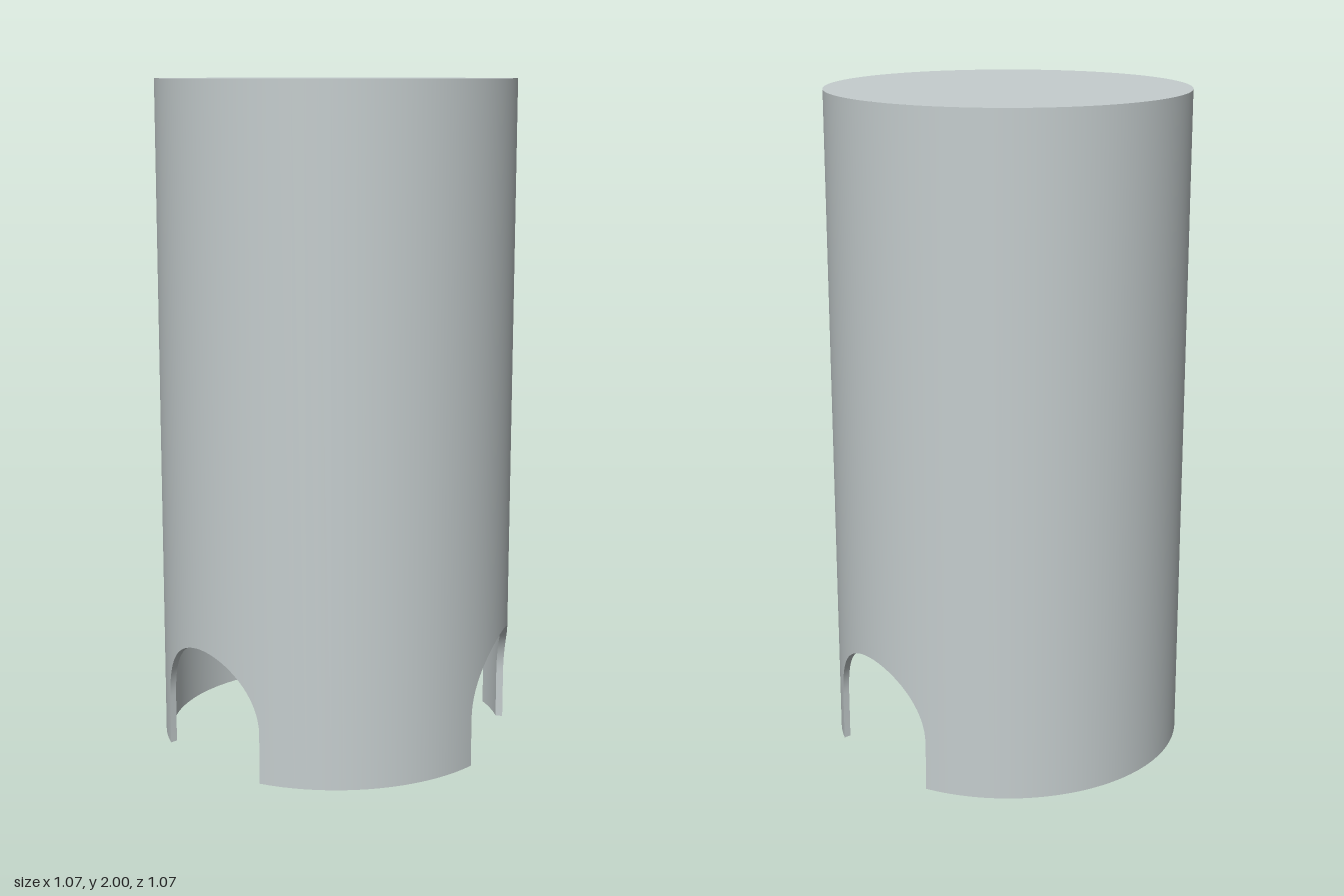
import * as THREE from 'three';
import { toCreasedNormals } from 'three/addons/utils/BufferGeometryUtils.js';

const R = 0.533, WALL = 0.02, RI = R - WALL, H = 2;
const ARCH_R = 0.2125, SPRING = 0.148; // arch radius and height of its straight jambs
const RAD = Math.PI / 180;
const ARCHES = [-16, 47.5, 167.5].map((d) => d * RAD); // measured from +x towards +z

// Columns around the wall: outer angle, inner angle and height of the lower edge
function wallColumns() {
  const cols = [];
  const half = Math.asin(ARCH_R / R), halfIn = Math.asin(ARCH_R / RI);
  ARCHES.forEach((c, k) => {
    cols.push({ o: c - half, i: c - halfIn, h: 0 });
    for (let n = 0; n <= 32; n++) {
      const phi = (n / 32) * Math.PI, s = -ARCH_R * Math.cos(phi);
      cols.push({ o: c + Math.asin(s / R), i: c + Math.asin(s / RI), h: SPRING + ARCH_R * Math.sin(phi) });
    }
    // Plain wall up to the next arch
    const next = k < ARCHES.length - 1 ? ARCHES[k + 1] : ARCHES[0] + 2 * Math.PI;
    const steps = Math.max(4, Math.ceil((next - c - 2 * half) / (4 * RAD)));
    for (let n = 0; n < steps; n++) {
      const t = n / steps;
      cols.push({
        o: THREE.MathUtils.lerp(c + half, next - half, t),
        i: THREE.MathUtils.lerp(c + halfIn, next - halfIn, t),
        h: 0,
      });
    }
  });
  const f = cols[0];
  cols.push({ o: f.o + 2 * Math.PI, i: f.i + 2 * Math.PI, h: f.h });
  return cols;
}

const at = (r, a, y) => [r * Math.cos(a), y, r * Math.sin(a)];

// Quad strip between two rows of points, with optional normals per column
function strip(lower, upper, normals) {
  const pos = [], nor = [], index = [];
  lower.forEach((p, n) => {
    pos.push(...p, ...upper[n]);
    if (normals) nor.push(...normals[n], ...normals[n]);
    if (n < lower.length - 1) {
      const a = 2 * n;
      index.push(a, a + 1, a + 3, a, a + 3, a + 2);
    }
  });
  const g = new THREE.BufferGeometry();
  g.setAttribute('position', new THREE.Float32BufferAttribute(pos, 3));
  g.setIndex(index);
  if (!normals) return toCreasedNormals(g, 0.6);
  g.setAttribute('normal', new THREE.Float32BufferAttribute(nor, 3));
  return g;
}

export function createModel() {
  const group = new THREE.Group();
  group.name = 'archedCylinder';
  const grey = new THREE.MeshStandardMaterial({ color: 0xc5cdce });
  grey.name = 'paleGrey';
  const add = (name, geometry) => {
    const mesh = new THREE.Mesh(geometry, grey);
    mesh.name = name;
    group.add(mesh);
    return mesh;
  };

  const cols = wallColumns();
  const outerLow = cols.map((c) => at(R, c.o, c.h));
  const innerLow = cols.map((c) => at(RI, c.i, c.h));

  // Outer and inner skins of the shell
  add('outerWall', strip(outerLow, cols.map((c) => at(R, c.o, H)), cols.map((c) => at(1, c.o, 0))));
  add('innerWall', strip(cols.map((c) => at(RI, c.i, H - WALL)), innerLow, cols.map((c) => at(-1, c.i, 0))));

  // Lower rim, following the arches and their jambs
  add('lowerRim', strip(innerLow, outerLow));

  // Closed top and the ceiling beneath it
  const top = add('top', new THREE.CircleGeometry(R, 96));
  top.rotation.x = -Math.PI / 2;
  top.position.y = H;
  const ceiling = add('ceiling', new THREE.CircleGeometry(RI, 96));
  ceiling.rotation.x = Math.PI / 2;
  ceiling.position.y = H - WALL;

  return group;
}
